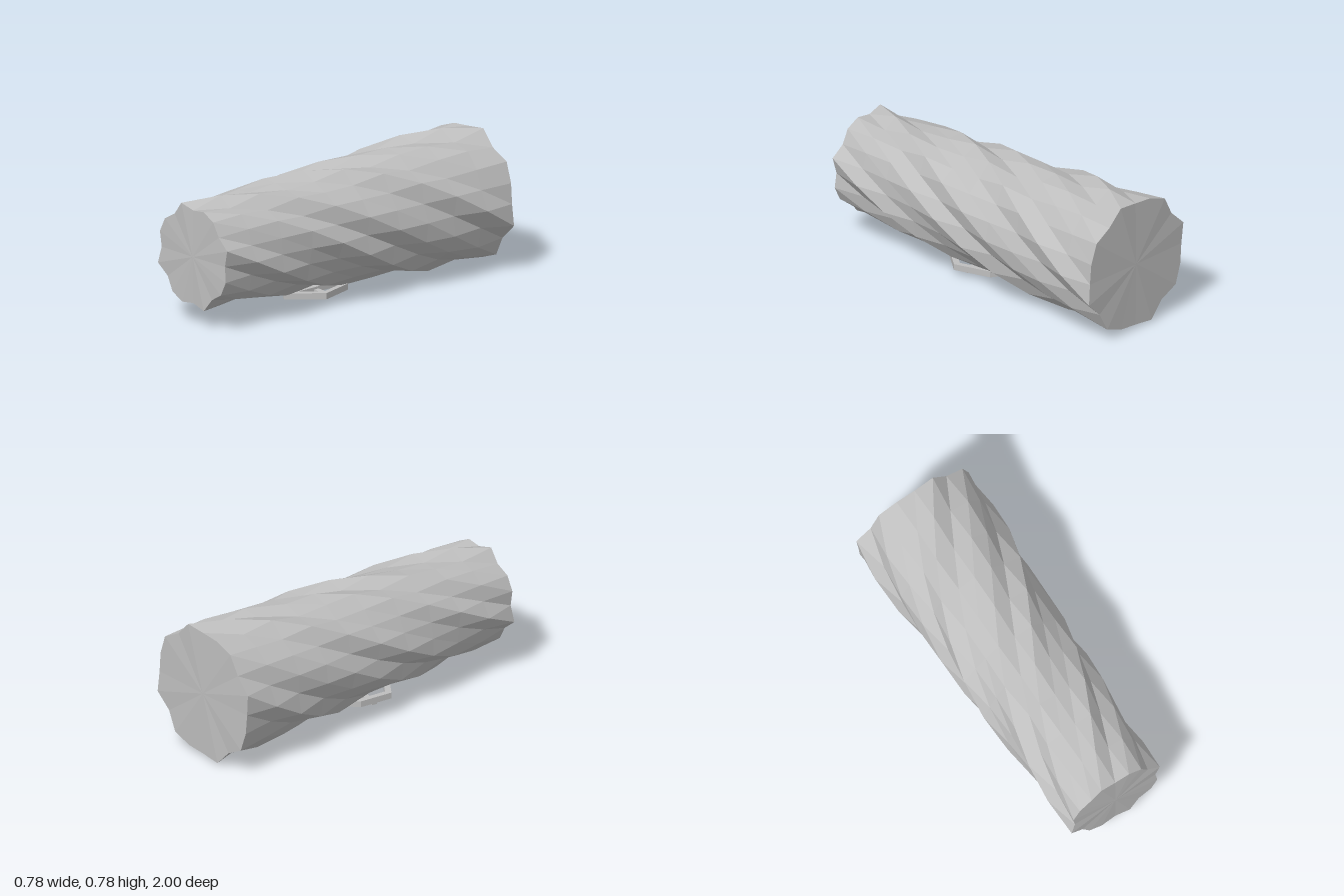
import * as THREE from 'three';

export function createModel() {
  const model = new THREE.Group();
  const grey = new THREE.MeshStandardMaterial({ color: 0xbebebe, flatShading: true });
  grey.name = 'stone grey';

  const add = (name, geometry, parent = model) => {
    const mesh = new THREE.Mesh(geometry, grey);
    mesh.name = name;
    parent.add(mesh);
    return mesh;
  };

  // Tapered trunk: eight ridges that spiral from front to back along the facet diagonals
  const trunk = new THREE.CylinderGeometry(1, 1, 2, 20, 10).rotateX(Math.PI / 2);
  const p = trunk.attributes.position;
  for (let i = 0; i < p.count; i++) {
    const x = p.getX(i), y = p.getY(i), z = p.getZ(i);
    const angle = Math.atan2(y, x);
    const ridge = THREE.MathUtils.degToRad(18 - 84 * (1 - z));
    const wave = Math.cos(8 * (angle - ridge));
    const radius = 0.329 - 0.048 * z + 0.022 * wave;
    // the rims of both ends are slightly uneven
    const onRim = Math.abs(z) > 0.99 && Math.hypot(x, y) > 0.5;
    p.setXYZ(i, x * radius, 0.39 + y * radius, onRim ? z * (0.997 + 0.003 * wave) : z);
  }
  trunk.computeVertexNormals();
  add('twistedTrunk', trunk);

  // Small six-sided frame under the trunk
  const frame = new THREE.Group();
  frame.name = 'bottomFrame';
  model.add(frame);
  const corners = [[0.037, 0.37], [-0.165, 0.22], [-0.14, 0.02], [0, -0.1], [0.12, -0.02], [0.185, 0.19]]
    .map(([x, z]) => new THREE.Vector2(x, -z));
  const centre = new THREE.Vector2(0.01, -0.13);
  const ring = new THREE.Shape(corners);
  ring.holes.push(new THREE.Path(corners.map(c => c.clone().lerp(centre, 0.2)).reverse()));
  const rim = new THREE.ExtrudeGeometry(ring, { depth: 0.035, bevelEnabled: false });
  add('frameRim', rim.rotateX(-Math.PI / 2).translate(0, 0.035, 0), frame);

  // Crossed bars inside the frame
  const bar = (name, from, to, width, y, height) => {
    const dx = to[0] - from[0], dz = to[1] - from[1];
    const mesh = add(name, new THREE.BoxGeometry(width, height, Math.hypot(dx, dz)), frame);
    mesh.position.set((from[0] + to[0]) / 2, y, (from[1] + to[1]) / 2);
    mesh.rotation.y = Math.atan2(dx, dz);
  };
  bar('longBar', [0.02, 0.345], [0, -0.08], 0.035, 0.045, 0.03);
  bar('crossBar', [-0.15, 0.11], [0.15, 0.14], 0.035, 0.037, 0.02);

  return model;
}
